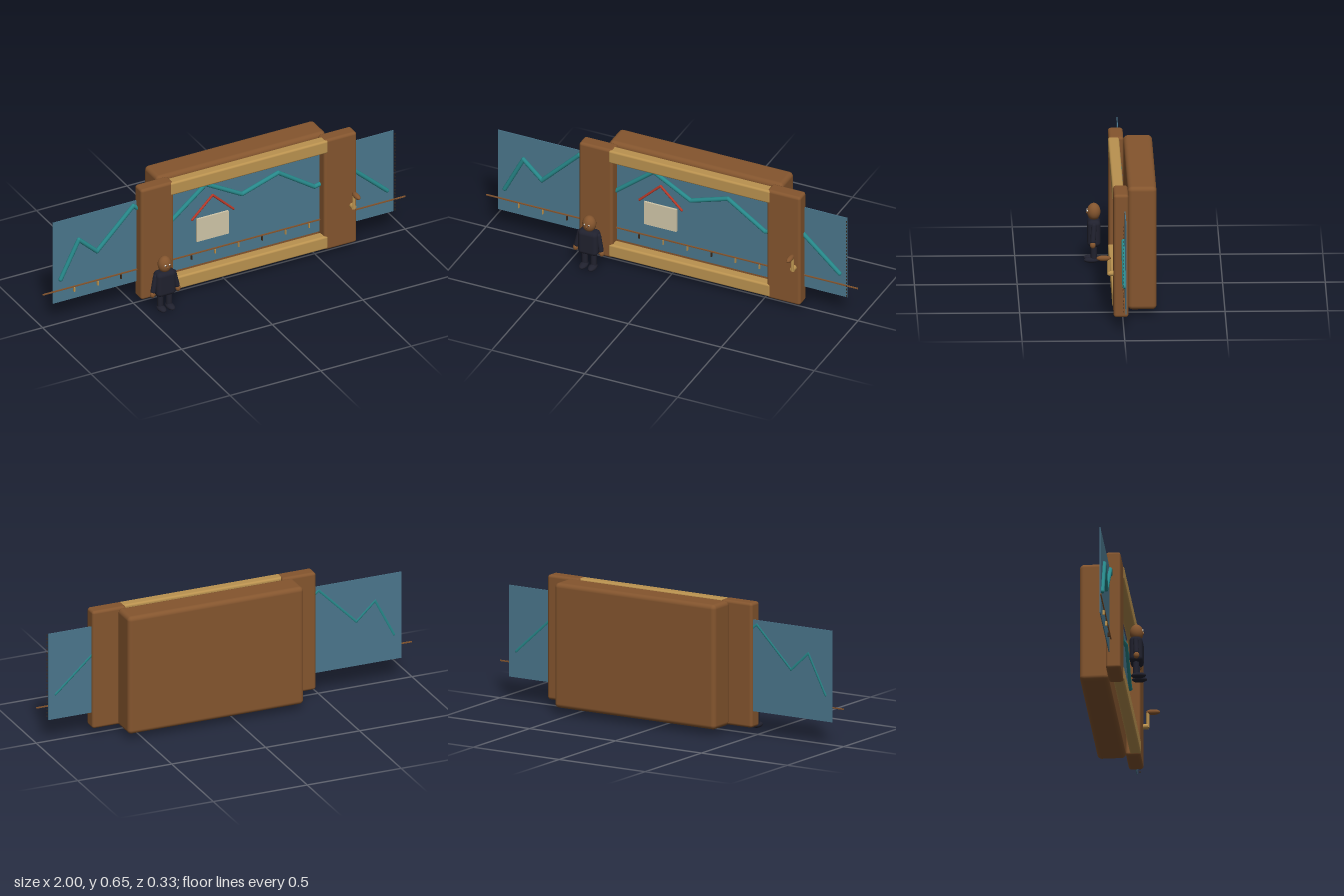
import * as THREE from 'three';
import { RoundedBoxGeometry } from 'three/addons/geometries/RoundedBoxGeometry.js';

const mat = (name, color) => {
  const m = new THREE.MeshStandardMaterial({ color });
  m.name = name;
  return m;
};

export function createModel() {
  const wood = mat('brown wood', 0x84552e);
  const gold = mat('golden wood', 0xba924f);
  const blue = mat('panel blue', 0x4a768c);
  const teal = mat('ridge teal', 0x27888a);
  const red = mat('roof red', 0xb83a2a);
  const cream = mat('house cream', 0xd0c6a8);
  const navy = mat('suit navy', 0x20212e);
  const white = mat('eye white', 0xf0ece0);
  const dark = mat('dark brown', 0x3a2a1c);

  const root = new THREE.Group();
  root.name = 'crankedSceneryBox';

  const add = (parent, name, geometry, material, x = 0, y = 0, z = 0) => {
    const m = new THREE.Mesh(geometry, material);
    m.name = name;
    m.position.set(x, y, z);
    parent.add(m);
    return m;
  };
  // Box given by its limits, rounded when r > 0
  const box = (name, material, [x0, x1], [y0, y1], [z0, z1], r = 0, parent = root) => {
    const s = [x1 - x0, y1 - y0, z1 - z0];
    const g = r ? new RoundedBoxGeometry(...s, 4, r) : new THREE.BoxGeometry(...s);
    return add(parent, name, g, material, (x0 + x1) / 2, (y0 + y1) / 2, (z0 + z1) / 2);
  };
  // Capsule joining two points
  const bar = (name, material, a, b, r, parent = root) => {
    const p = new THREE.Vector3(...a), q = new THREE.Vector3(...b);
    const d = q.clone().sub(p);
    const m = add(parent, name, new THREE.CapsuleGeometry(r, d.length(), 6, 14), material);
    m.position.copy(p).add(q).multiplyScalar(0.5);
    m.quaternion.setFromUnitVectors(new THREE.Vector3(0, 1, 0), d.normalize());
    return m;
  };
  const ball = (name, material, [x, y, z], [rx, ry, rz], parent = root) => {
    const g = new THREE.SphereGeometry(1, 24, 16).scale(rx, ry, rz);
    return add(parent, name, g, material, x, y, z);
  };

  // Rear case and front frame
  box('rearCase', wood, [-0.355, 0.58], [0.033, 0.655], [-0.165, -0.025], 0.022);
  for (const x of [-0.48, 0.53]) box('framePost', wood, [x, x + 0.18], [0.033, 0.655], [-0.025, 0.047], 0.014);
  for (const y of [0.041, 0.581]) box('frameRail', gold, [-0.32, 0.55], [y, y + 0.071], [-0.004, 0.05], 0.01);

  // Sliding scenery panel with its edge perforations
  box('sceneryPanel', blue, [-0.94, 0.94], [0.116, 0.573], [-0.01, -0.006]);
  for (let i = 0; i < 24; i++) {
    const y = 0.131 + i * 0.0186;
    box('edgePerforation', dark, [0.938, 0.942], [y - 0.004, y + 0.004], [0.004, 0.008]);
  }

  // Mountain ridge
  const ridge = [[-0.9, 0.247], [-0.8, 0.443], [-0.7, 0.35], [-0.5, 0.55], [-0.3, 0.4], [-0.1, 0.562],
    [0.1, 0.45], [0.3, 0.515], [0.5, 0.38], [0.7, 0.428], [0.9, 0.247]];
  for (let i = 1; i < ridge.length; i++) {
    bar('ridgeLine', teal, [...ridge[i - 1], -0.001], [...ridge[i], -0.001], 0.011);
  }

  // House
  box('houseWall', cream, [-0.15, 0.025], [0.25, 0.378], [-0.006, 0.004]);
  for (const x of [-0.175, 0.052]) bar('houseRoof', red, [-0.062, 0.49, 0], [x, 0.381, 0], 0.006);

  // Ground line and its hanging marks
  box('groundLine', wood, [-1, 1], [0.184, 0.19], [-0.002, 0.004]);
  for (let i = 0; i < 11; i++) {
    const x = -0.825 + i * 0.1295;
    box('groundMark', i % 3 === 2 ? dark : gold, [x - 0.003, x + 0.003], [0.157, 0.18], [-0.006, 0.004]);
  }

  // Crank on the right-hand post
  const crank = new THREE.Group();
  crank.name = 'crank';
  root.add(crank);
  const hub = add(crank, 'crankHub', new THREE.CylinderGeometry(0.013, 0.013, 0.026, 20), gold, 0.68, 0.25, 0.058);
  hub.rotation.x = Math.PI / 2;
  add(crank, 'crankArm', new THREE.CylinderGeometry(0.008, 0.008, 0.08, 16), gold, 0.68, 0.285, 0.07);
  ball('crankKnob', wood, [0.68, 0.327, 0.095], [0.014, 0.014, 0.035], crank);

  // Standing figure
  const figure = new THREE.Group();
  figure.name = 'figure';
  figure.position.set(-0.39, 0, 0.118);
  root.add(figure);
  box('torso', navy, [-0.053, 0.053], [0.084, 0.219], [-0.032, 0.032], 0.022, figure);
  ball('head', wood, [0, 0.254, 0], [0.035, 0.043, 0.033], figure);
  ball('nose', wood, [0, 0.25, 0.032], [0.005, 0.006, 0.005], figure);
  for (const s of [-1, 1]) {
    ball('eye', white, [s * 0.012, 0.261, 0.031], [0.005, 0.005, 0.004], figure);
    ball('pupil', navy, [s * 0.012, 0.261, 0.0345], [0.0025, 0.0025, 0.002], figure);
    bar('arm', navy, [s * 0.05, 0.195, 0], [s * 0.066, 0.12, 0.005], 0.013, figure);
    ball('hand', wood, [s * 0.07, 0.103, 0.006], [0.013, 0.017, 0.014], figure);
    add(figure, 'leg', new THREE.CylinderGeometry(0.015, 0.015, 0.085, 18), navy, s * 0.024, 0.056, 0);
    ball('foot', navy, [s * 0.024, 0.015, 0.012], [0.02, 0.014, 0.037], figure);
  }
  return root;
}
